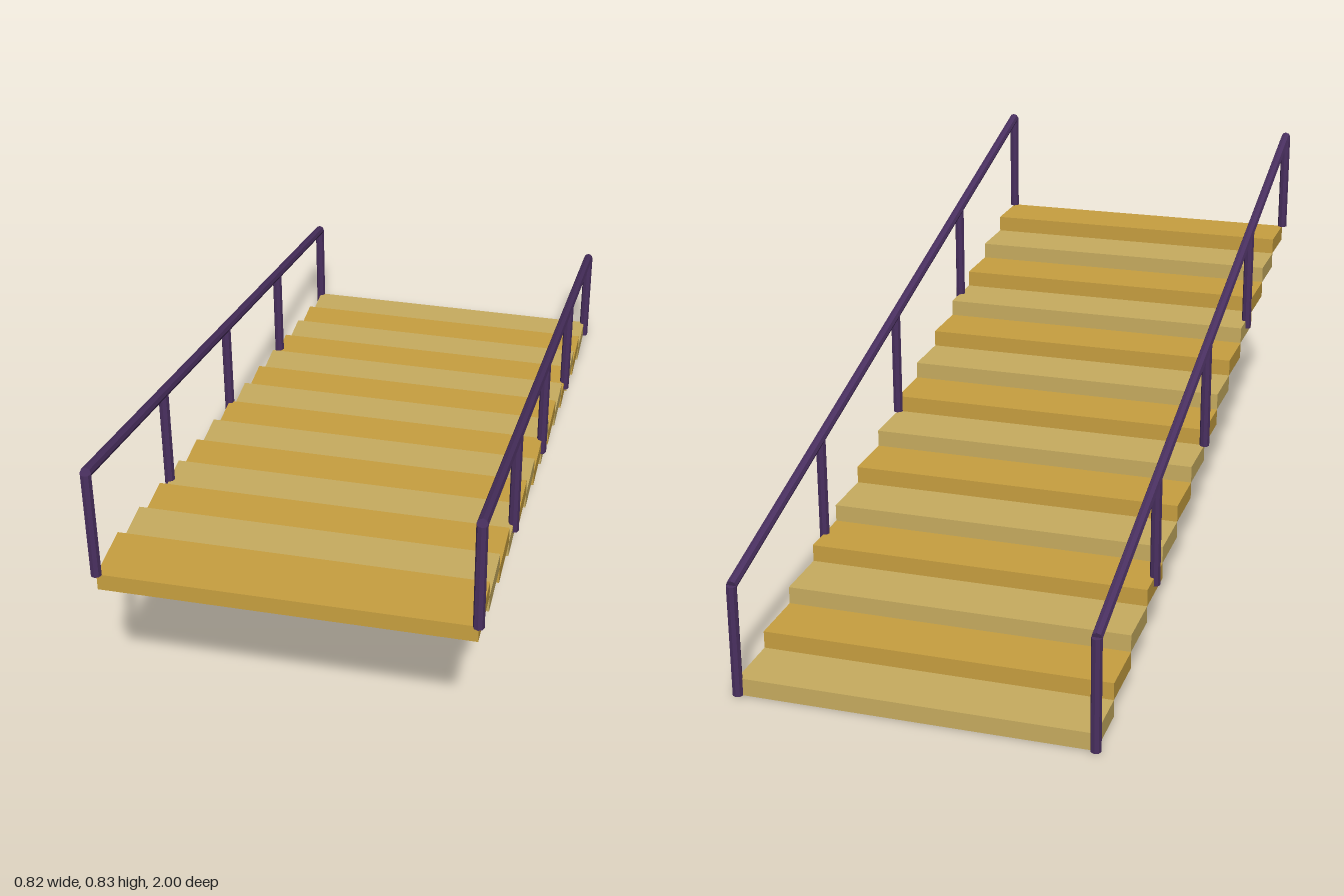
import * as THREE from 'three';

const STEPS = 14, RISE = 0.04, HALF = 0.988, HALF_WIDTH = 0.398;
const RADIUS = 0.012, RAIL_HEIGHT = 0.26, TOP = STEPS * RISE;

export function createModel() {
  const model = new THREE.Group();
  model.name = 'staircase';

  const material = (name, color, flatShading = false) => {
    const m = new THREE.MeshStandardMaterial({ color, flatShading });
    m.name = name;
    return m;
  };
  const paleWood = material('pale wood', 0xc8ad60);
  const goldenWood = material('golden wood', 0xc8a040);
  const purpleMetal = material('purple metal', 0x4a3060, true);

  // Treads climb towards the front, alternating in colour
  const depth = (2 * HALF) / STEPS;
  const treadGeometry = new THREE.BoxGeometry(2 * HALF_WIDTH, RISE, depth);
  for (let i = 0; i < STEPS; i++) {
    const tread = new THREE.Mesh(treadGeometry, i % 2 ? goldenWood : paleWood);
    tread.name = `tread${i + 1}`;
    tread.position.set(0, (i + 0.5) * RISE, -HALF + (i + 0.5) * depth);
    model.add(tread);
  }

  // Eight-sided bar between two points
  const bar = (name, from, to) => {
    const direction = to.clone().sub(from);
    const mesh = new THREE.Mesh(
      new THREE.CylinderGeometry(RADIUS, RADIUS, direction.length(), 8), purpleMetal);
    mesh.name = name;
    mesh.position.copy(from).add(to).multiplyScalar(0.5);
    mesh.quaternion.setFromUnitVectors(new THREE.Vector3(0, 1, 0), direction.normalize());
    return mesh;
  };

  // A sloping handrail on five posts along each side
  for (const side of [-1, 1]) {
    const railing = new THREE.Group();
    railing.name = side > 0 ? 'leftRailing' : 'rightRailing';
    const point = (t, lift) =>
      new THREE.Vector3(side * HALF_WIDTH, t * TOP + lift, -HALF + 2 * HALF * t);
    for (let i = 0; i < 5; i++) {
      railing.add(bar(`post${i + 1}`, point(i / 4, 0), point(i / 4, RAIL_HEIGHT)));
    }
    railing.add(bar('handrail', point(0, RAIL_HEIGHT), point(1, RAIL_HEIGHT)));
    model.add(railing);
  }

  return model;
}
